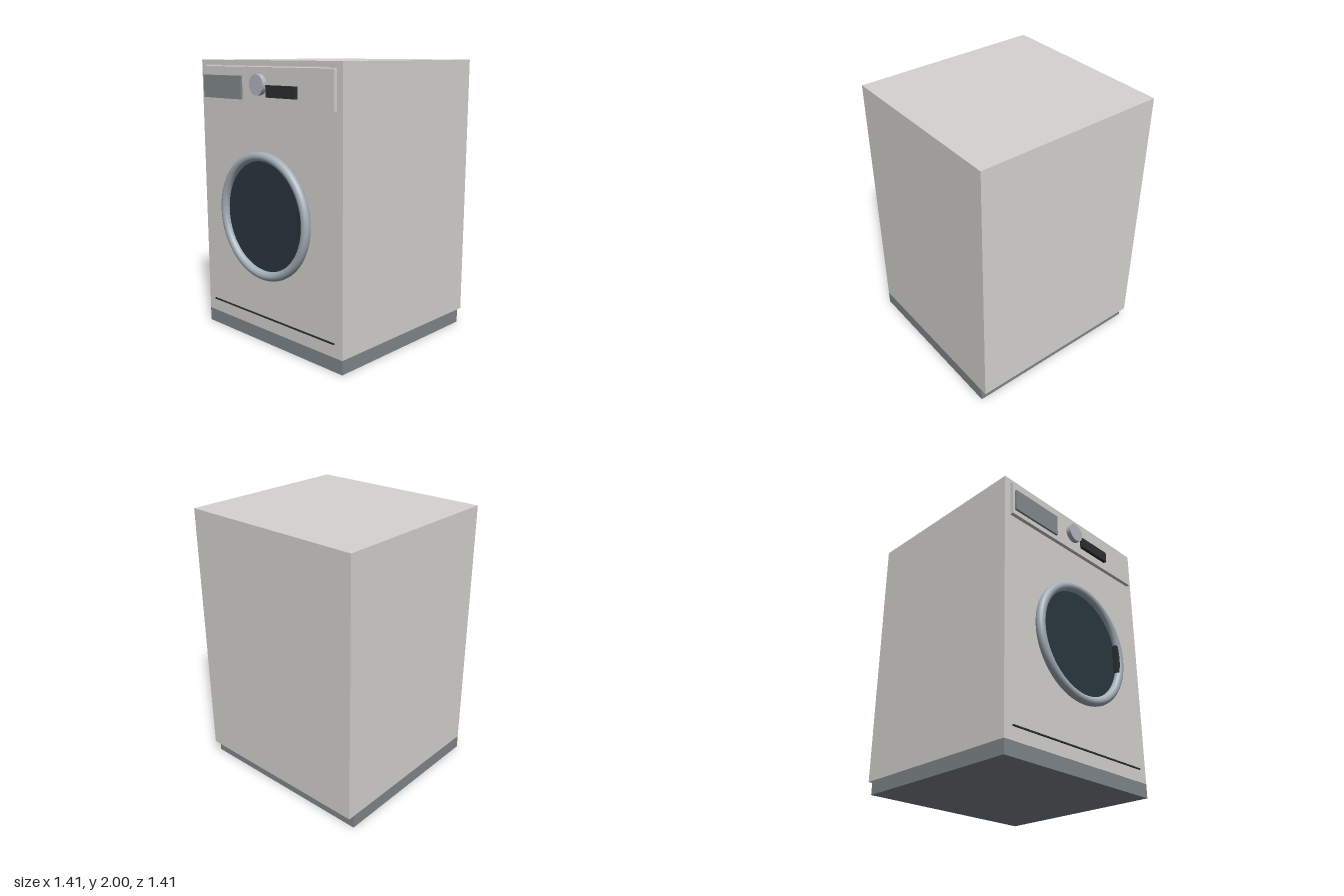
import * as THREE from 'three';

const mat = (color) => new THREE.MeshStandardMaterial({ color });

export function createModel() {
  const group = new THREE.Group();
  const white = mat(0xd6d4d0), plinthGrey = mat(0x80888c), drawerGrey = mat(0x858c90);
  const steel = mat(0xa4afb8), knobGrey = mat(0xb4b9c4), glassDark = mat(0x2b3840), black = mat(0x2c2f30);

  const add = (name, geometry, material) => {
    const mesh = new THREE.Mesh(geometry, material);
    mesh.name = name;
    group.add(mesh);
    return mesh;
  };
  // box given by its limits on each axis
  const box = (name, material, x0, x1, y0, y1, z0, z1) =>
    add(name, new THREE.BoxGeometry(x1 - x0, y1 - y0, z1 - z0), material)
      .position.set((x0 + x1) / 2, (y0 + y1) / 2, (z0 + z1) / 2);
  // disc facing the front
  const disc = (name, material, x, y, radius, z0, z1) =>
    add(name, new THREE.CylinderGeometry(radius, radius, z1 - z0, 64).rotateX(Math.PI / 2), material)
      .position.set(x, y, (z0 + z1) / 2);

  // cabinet: side walls and top in one arch-shaped shell
  const arch = new THREE.Shape([
    [-0.705, 0.1], [-0.655, 0.1], [-0.655, 1.965], [0.655, 1.965],
    [0.655, 0.1], [0.705, 0.1], [0.705, 2], [-0.705, 2],
  ].map(([x, y]) => new THREE.Vector2(x, y)));
  const shell = new THREE.ExtrudeGeometry(arch, { depth: 1.295, bevelEnabled: false });
  add('cabinetShell', shell.translate(0, 0, -0.66), white);
  box('backPanel', white, -0.705, 0.705, 0.1, 2, -0.705, -0.66);
  box('frontPanel', white, -0.655, 0.655, 0.1, 1.7, 0.56, 0.635);
  box('plinth', plinthGrey, -0.705, 0.705, 0, 0.098, -0.66, 0.635);
  box('kickSeam', black, -0.635, 0.635, 0.19, 0.2, 0.63, 0.643);

  // controls, standing slightly proud of the front
  box('controlPanel', white, -0.655, 0.655, 1.7, 1.956, 0.56, 0.662);
  box('detergentDrawer', drawerGrey, -0.635, -0.215, 1.735, 1.895, 0.66, 0.677);
  box('display', black, 0.055, 0.335, 1.76, 1.84, 0.66, 0.687);
  disc('programKnob', knobGrey, -0.03, 1.84, 0.07, 0.66, 0.697);

  // porthole door
  add('doorRing', new THREE.TorusGeometry(0.4175, 0.0325, 24, 96), steel).position.set(0, 0.945, 0.6775);
  disc('doorGlass', glassDark, 0, 0.945, 0.392, 0.63, 0.668);
  box('doorHandle', black, 0.36, 0.4, 0.84, 1.05, 0.66, 0.702);

  return group;
}
